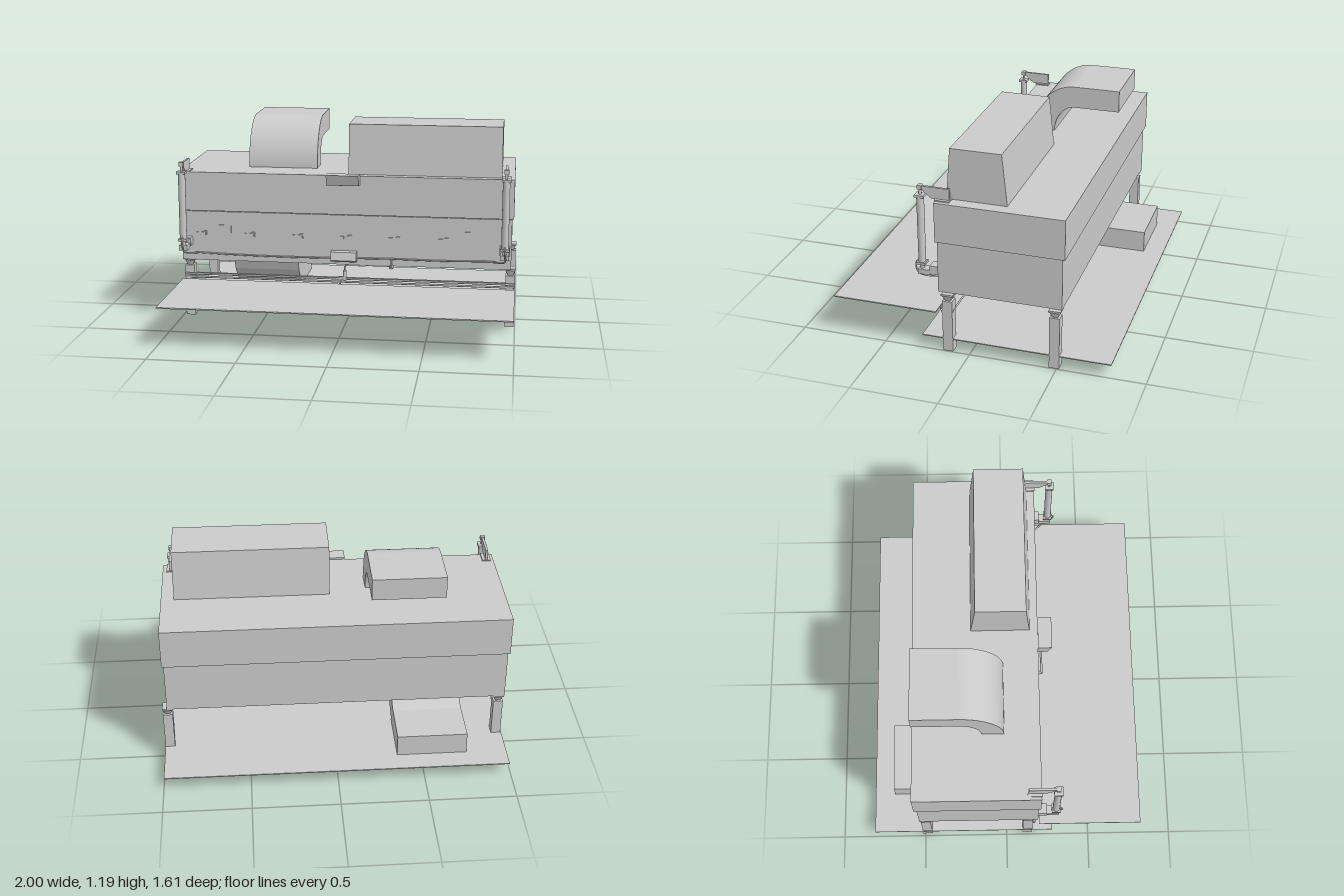
import * as THREE from 'three';

const grey = new THREE.MeshStandardMaterial({ color: 0xcccccc, side: THREE.DoubleSide });

export function createModel() {
  const model = new THREE.Group();

  const add = (name, geometry, parent = model) => {
    const mesh = new THREE.Mesh(geometry, grey);
    mesh.name = name;
    parent.add(mesh);
    return mesh;
  };
  // Box given by its extents on each axis
  const box = (name, x0, x1, y0, y1, z0, z1, parent) => {
    const mesh = add(name, new THREE.BoxGeometry(x1 - x0, y1 - y0, z1 - z0), parent);
    mesh.position.set((x0 + x1) / 2, (y0 + y1) / 2, (z0 + z1) / 2);
    return mesh;
  };
  // Side profile in (z, y), extruded across x
  const profile = (name, shape, x0, x1, parent) => {
    const geo = new THREE.ExtrudeGeometry(shape, { depth: x1 - x0, bevelEnabled: false, curveSegments: 20 });
    geo.rotateY(-Math.PI / 2).translate(x1, 0, 0);
    return add(name, geo, parent);
  };
  const polygon = (pts) => new THREE.Shape(pts.map(([z, y]) => new THREE.Vector2(z, y)));
  const cylinder = (name, r0, r1, x, y0, y1, z, sides, parent) => {
    const mesh = add(name, new THREE.CylinderGeometry(r1, r0, y1 - y0, sides), parent);
    mesh.position.set(x, (y0 + y1) / 2, z);
    return mesh;
  };
  const hose = (name, pts, r, parent) => add(name, new THREE.TubeGeometry(
    new THREE.CatmullRomCurve3(pts.map((p) => new THREE.Vector3(...p))), pts.length * 10, r, 8), parent);
  const rail = (name, x0, x1, y, z, r) => {
    const mesh = add(name, new THREE.CylinderGeometry(r, r, x1 - x0, 10));
    mesh.rotation.z = Math.PI / 2;
    mesh.position.set((x0 + x1) / 2, y, z);
  };

  // Housing
  box('lowerHousing', -0.99, 0.97, 0.355, 0.655, -0.52, 0.185);
  box('upperHousing', -1, 0.98, 0.66, 0.893, -0.535, 0.195);
  profile('topCover', polygon([[-0.195, 0.893], [0.148, 0.893], [0.125, 1.187], [-0.165, 1.187]]), 0.01, 0.905);

  // Upper duct: quarter bend followed by a straight outlet
  const bend = new THREE.Shape();
  bend.moveTo(-0.53, 1.182);
  bend.lineTo(-0.26, 1.182);
  bend.absellipse(-0.26, 0.893, 0.25, 0.289, Math.PI / 2, 0, true);
  bend.lineTo(-0.138, 0.893);
  bend.absellipse(-0.26, 0.893, 0.122, 0.16, 0, Math.PI / 2, false);
  bend.lineTo(-0.53, 1.053);
  bend.closePath();
  profile('upperDuct', bend, -0.615, -0.2);

  // Lower duct
  profile('lowerDuct', polygon([[-0.16, 0.356], [-0.165, 0.3], [-0.2, 0.205], [-0.28, 0.122], [-0.39, 0.082],
    [-0.685, 0.082], [-0.685, 0.212], [-0.43, 0.212], [-0.385, 0.222], [-0.335, 0.258], [-0.3, 0.31], [-0.29, 0.356]]),
  -0.755, -0.35);

  // Floor and front platform
  box('floorPlate', -0.99, 0.995, 0.075, 0.081, -0.805, 0.278);
  box('frontPlatform', -0.99, 0.995, 0.231, 0.238, 0.195, 0.805);

  // Legs with tapered feet under the housing
  for (const x of [-0.957, 0.967]) {
    for (const z of [0.127, -0.485]) {
      const leg = new THREE.Group();
      leg.name = 'leg';
      model.add(leg);
      box('legPost', x - 0.028, x + 0.028, 0, 0.312, z - 0.029, z + 0.029, leg);
      const taper = cylinder('legTaper', 0.022, 0.04, x, 0.312, 0.345, z, 4, leg);
      taper.rotation.y = Math.PI / 4;
      box('legCap', x - 0.03, x + 0.03, 0.345, 0.355, z - 0.034, z + 0.034, leg);
    }
  }

  // Lift cylinders with upper arms, lower brackets and fittings
  for (const side of [-1, 1]) {
    const x = side < 0 ? -0.957 : 0.932;
    const lift = new THREE.Group();
    lift.name = 'liftCylinder';
    model.add(lift);
    cylinder('barrel', 0.021, 0.021, x, 0.5, 0.91, 0.288, 20, lift);
    for (const y of [0.495, 0.9]) box('barrelCap', x - 0.026, x + 0.026, y, y + 0.014, 0.262, 0.314, lift);
    cylinder('rod', 0.008, 0.008, x, 0.91, 0.955, 0.288, 12, lift);
    box('clevis', x - 0.014, x + 0.014, 0.945, 0.968, 0.276, 0.3, lift);
    const arm = polygon([[0.295, 0.965], [0.12, 0.963], [0.12, 0.898], [0.222, 0.898], [0.28, 0.945]]);
    profile('upperArm', arm, x - 0.007, x + 0.007, lift);
    box('armPlate', x - 0.025, x + 0.025, 0.893, 0.9, 0.115, 0.2, lift);
    cylinder('lowerRod', 0.013, 0.013, x, 0.45, 0.5, 0.288, 12, lift);
    box('lowerClevis', x - 0.025, x + 0.025, 0.44, 0.47, 0.235, 0.305, lift);
    box('lowerBracket', x - 0.03, x + 0.03, 0.45, 0.5, 0.185, 0.235, lift);
    hose('liftHose', [[x, 0.52, 0.305], [x, 0.49, 0.325], [x + 0.005, 0.44, 0.31],
      [x - side * 0.02, 0.412, 0.25], [x - side * 0.07, 0.402, 0.19]], 0.005, lift);
  }

  // Hose across the front
  hose('frontHose', [[-0.89, 0.402, 0.19], [-0.65, 0.395, 0.191], [-0.35, 0.392, 0.191], [-0.05, 0.395, 0.191],
    [0.25, 0.4, 0.191], [0.55, 0.398, 0.191], [0.862, 0.404, 0.19]], 0.005);

  // Front panels and latches
  for (const x of [-0.74, 0.71]) box('inspectionPanel', x - 0.05, x + 0.05, 0.475, 0.575, 0.18, 0.189);
  for (let i = 0; i < 6; i++) {
    const x = -0.88 + i * 0.292;
    box('latchPlate', x - 0.04, x + 0.04, 0.505, 0.535, 0.18, 0.188);
    for (const dx of [-0.022, 0.022]) box('latch', x + dx - 0.013, x + dx + 0.013, 0.511, 0.529, 0.185, 0.194);
  }

  // Control box above and valve box below
  profile('controlBox', polygon([[0.195, 0.905], [0.275, 0.908], [0.252, 0.845], [0.22, 0.838], [0.195, 0.838]]), -0.107, 0.082);
  profile('valveBox', polygon([[0.185, 0.44], [0.222, 0.438], [0.235, 0.39], [0.215, 0.378], [0.185, 0.378]]), -0.087, 0.065);

  // Rails between the legs
  rail('upperRail', -0.985, 0.99, 0.262, 0.165, 0.006);
  rail('lowerRail', -0.985, 0.99, 0.242, 0.16, 0.006);
  rail('rearRail', -0.985, 0.99, 0.25, 0.1, 0.005);

  // Supply pipe and valve
  cylinder('supplyPipe', 0.006, 0.006, -0.04, 0.08, 0.262, 0.165, 10);
  cylinder('valveBody', 0.011, 0.011, -0.01, 0.275, 0.315, 0.17, 10);
  box('valveElbow', -0.045, 0, 0.256, 0.277, 0.158, 0.178);
  hose('supplyHose', [[-0.01, 0.31, 0.17], [-0.005, 0.345, 0.17], [0.05, 0.354, 0.175], [0.17, 0.354, 0.18], [0.27, 0.355, 0.185]], 0.005);
  box('hoseBracket', 0.265, 0.272, 0.338, 0.405, 0.18, 0.194);
  box('hoseBracketFoot', 0.255, 0.28, 0.338, 0.344, 0.03, 0.19);

  return model;
}
